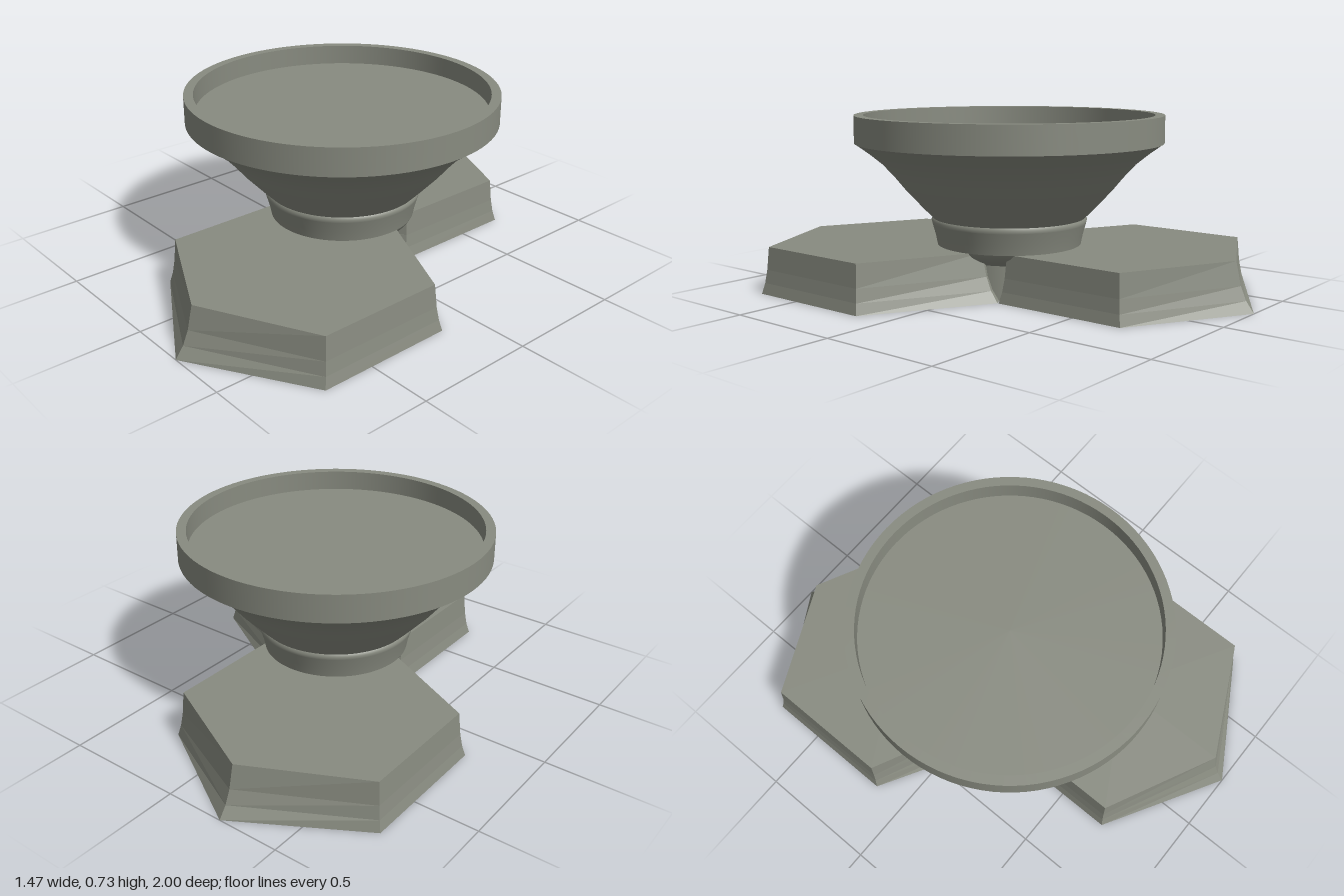
import * as THREE from 'three';

const stone = new THREE.MeshStandardMaterial({ color: 0x888b80, side: THREE.DoubleSide });
stone.name = 'grey green';

function addMesh(parent, name, geometry) {
  const mesh = new THREE.Mesh(geometry, stone);
  mesh.name = name;
  parent.add(mesh);
  return mesh;
}

// Each profile is a smooth band; hard edges come from starting a new band.
function lathe(points) {
  return new THREE.LatheGeometry(points.map(([r, y]) => new THREE.Vector2(r, y)), 96);
}

// Corner offsets of the foot at ground level and at its top.
const groundCorners = [[0, 0.57], [0.49, 0.285], [0.49, -0.285], [0, -0.57], [-0.49, -0.285], [-0.49, 0.285]];
const topCorners = [[0, 0.49], [0.465, 0.262], [0.465, -0.262], [0, -0.49], [-0.465, -0.262], [-0.465, 0.262]];
// Height and share of the inset reached there, giving the flared wall.
const levels = [[0, 0], [0.045, 0.42], [0.1, 0.72], [0.195, 1]];

// Hollow hexagonal foot, open underneath
function footGeometry() {
  const positions = [];
  const corner = (i, [y, t]) => {
    const a = groundCorners[i % 6], b = topCorners[i % 6];
    return [a[0] + (b[0] - a[0]) * t, y, a[1] + (b[1] - a[1]) * t];
  };
  const top = levels[levels.length - 1];
  for (let i = 0; i < 6; i++) {
    for (let j = 0; j < levels.length - 1; j++) {
      const a = corner(i, levels[j]), b = corner(i + 1, levels[j]);
      const c = corner(i + 1, levels[j + 1]), d = corner(i, levels[j + 1]);
      positions.push(...a, ...b, ...c, ...a, ...c, ...d);
    }
    positions.push(0, top[0], 0, ...corner(i, top), ...corner(i + 1, top));
  }
  const geometry = new THREE.BufferGeometry();
  geometry.setAttribute('position', new THREE.Float32BufferAttribute(positions, 3));
  geometry.computeVertexNormals();
  return geometry;
}

export function createModel() {
  const model = new THREE.Group();
  model.name = 'pedestalDish';

  // Two feet sharing one edge under the stem
  const foot = footGeometry();
  for (const [side, name] of [[1, 'frontFoot'], [-1, 'backFoot']]) {
    addMesh(model, name, foot).position.set(0.245 * side, 0, 0.43 * side);
  }

  // Stem: open tube between the feet, rounded shoulder, neck and collar
  const stem = new THREE.Group();
  stem.name = 'stem';
  model.add(stem);
  addMesh(stem, 'stemTube', lathe([[0.245, 0.005], [0.24, 0.07], [0.235, 0.14]]));
  addMesh(stem, 'stemShoulder', lathe([[0.235, 0.14], [0.265, 0.158], [0.29, 0.178], [0.3, 0.195]]));
  addMesh(stem, 'stemNeck', lathe([[0.3, 0.195], [0.308, 0.235], [0.322, 0.285]]));
  addMesh(stem, 'stemCollar', lathe([[0.322, 0.285], [0.325, 0.298], [0.318, 0.307]]));

  // Dish: flared underside, upright rim and recessed floor
  const dish = new THREE.Group();
  dish.name = 'dish';
  model.add(dish);
  addMesh(dish, 'dishUnderside', lathe([
    [0.318, 0.307], [0.36, 0.35], [0.43, 0.425], [0.475, 0.48], [0.525, 0.535], [0.58, 0.58], [0.635, 0.62],
  ]));
  addMesh(dish, 'rimOutside', lathe([[0.637, 0.62], [0.637, 0.733]]));
  addMesh(dish, 'rimTop', lathe([[0.637, 0.733], [0.598, 0.733]]));
  addMesh(dish, 'rimInside', lathe([[0.598, 0.733], [0.598, 0.65]]));
  addMesh(dish, 'dishFloor', lathe([[0.598, 0.65], [0, 0.65]]));

  return model;
}
